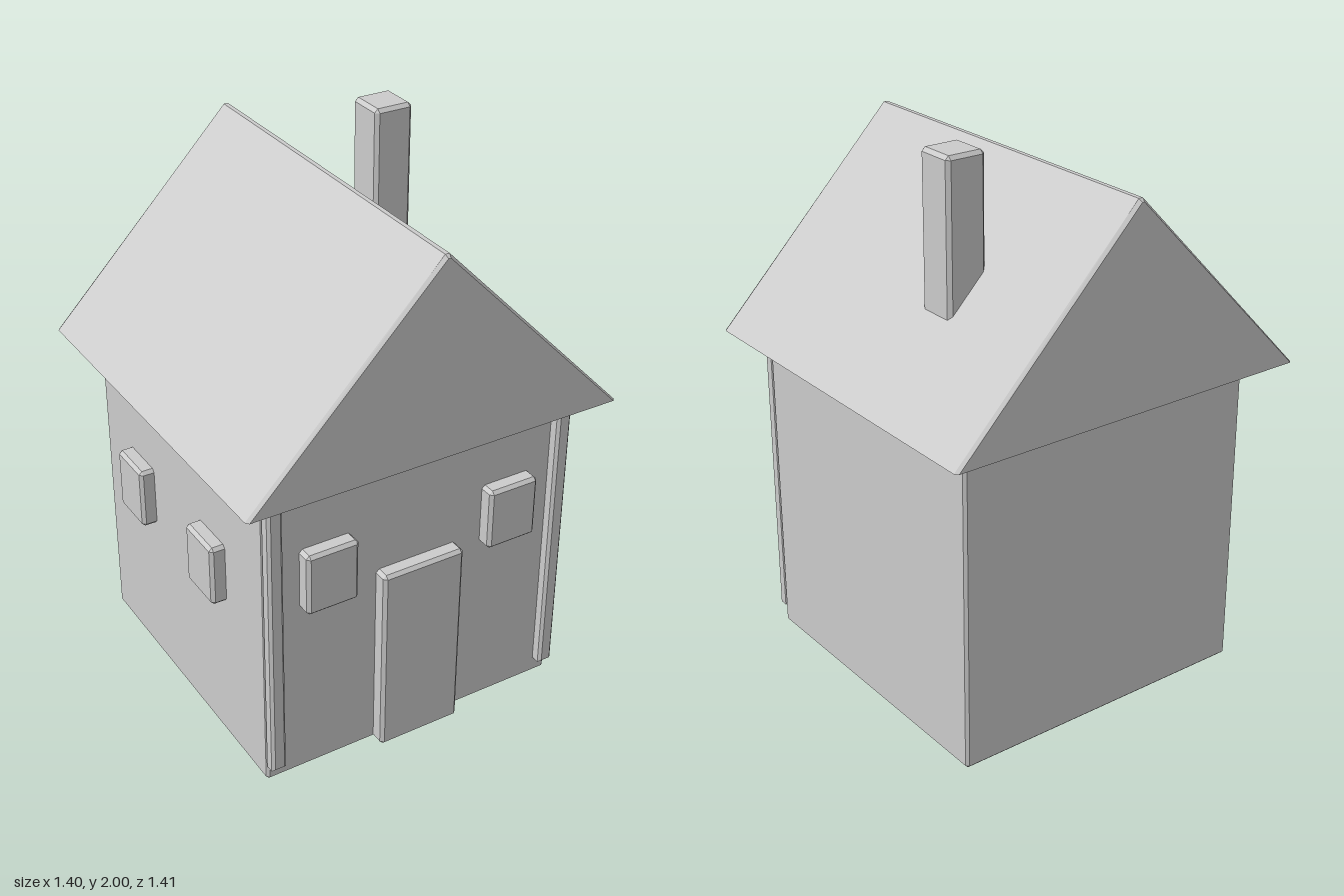
import * as THREE from 'three';
import { ConvexGeometry } from 'three/addons/geometries/ConvexGeometry.js';

const material = new THREE.MeshStandardMaterial({ color: 0xcccccc, flatShading: true });
const shellMaterial = new THREE.MeshStandardMaterial({ color: 0xcccccc, flatShading: true, side: THREE.DoubleSide });

// Box between two corners with every edge chamfered
function chamferBox(name, min, max, c = 0.01) {
  const points = [];
  for (let i = 0; i < 8; i++) {
    const side = [i & 1, (i >> 1) & 1, (i >> 2) & 1];
    for (let face = 0; face < 3; face++) {
      const p = side.map((s, a) => {
        const inset = a === face ? 0 : c;
        return s ? max[a] - inset : min[a] + inset;
      });
      points.push(new THREE.Vector3(...p));
    }
  }
  const mesh = new THREE.Mesh(new ConvexGeometry(points), material);
  mesh.name = name;
  return mesh;
}

// Gable roof: a hollow shell, open underneath, lofted along z
function roofGeometry() {
  const full = [[0.7, 1.18], [0.008, 1.895], [-0.008, 1.895], [-0.7, 1.18]];
  const inset = [[0.69, 1.18], [0.004, 1.885], [-0.004, 1.885], [-0.69, 1.18]];
  const rings = [[inset, -0.705], [full, -0.692], [full, 0.692], [inset, 0.705]]
    .map(([profile, z]) => profile.map(([x, y]) => [x, y, z]));
  const pos = [];
  const quad = (a, b, c, d) => pos.push(...a, ...b, ...c, ...a, ...c, ...d);
  for (let r = 0; r < 3; r++) {
    for (let i = 0; i < 3; i++) {
      quad(rings[r][i], rings[r][i + 1], rings[r + 1][i + 1], rings[r + 1][i]);
    }
  }
  // Slopes and chamfers are wound outwards, then the two gable ends
  for (let t = 0; t < pos.length; t += 9) {
    for (let k = 0; k < 3; k++) {
      [pos[t + 3 + k], pos[t + 6 + k]] = [pos[t + 6 + k], pos[t + 3 + k]];
    }
  }
  quad(...rings[3]);
  quad(...[...rings[0]].reverse());
  const g = new THREE.BufferGeometry();
  g.setAttribute('position', new THREE.Float32BufferAttribute(pos, 3));
  g.computeVertexNormals();
  return g;
}

// Upside-down U of two posts and a top beam
function frameGeometry() {
  const outline = [
    [-0.585, 0.065], [-0.53, 0.065], [-0.53, 1.11], [0.53, 1.11],
    [0.53, 0.065], [0.585, 0.065], [0.585, 1.165], [-0.585, 1.165],
  ];
  const shape = new THREE.Shape(outline.map(([x, y]) => new THREE.Vector2(x, y)));
  const g = new THREE.ExtrudeGeometry(shape, {
    depth: 0.03, bevelEnabled: true, bevelSegments: 1,
    bevelSize: 0.01, bevelThickness: 0.01, bevelOffset: -0.01,
  });
  return g.translate(0, 0, 0.585);
}

export function createModel() {
  const house = new THREE.Group();
  house.name = 'house';

  house.add(chamferBox('walls', [-0.585, 0, -0.585], [0.585, 1.175, 0.585]));

  const roof = new THREE.Mesh(roofGeometry(), shellMaterial);
  roof.name = 'roof';
  house.add(roof);

  house.add(chamferBox('chimney', [0.277, 1.18, -0.288], [0.423, 2, -0.138], 0.013));

  const frame = new THREE.Mesh(frameGeometry(), material);
  frame.name = 'frontFrame';
  house.add(frame);

  house.add(chamferBox('door', [-0.16, 0, 0.57], [0.157, 0.73, 0.64], 0.012));

  // Front windows
  for (const x of [-0.355, 0.353]) {
    house.add(chamferBox('frontWindow', [x - 0.097, 0.687, 0.57], [x + 0.097, 0.92, 0.64], 0.012));
  }

  // Side windows
  for (const z of [-0.29, 0.235]) {
    house.add(chamferBox('sideWindow', [-0.638, 0.595, z - 0.092], [-0.57, 0.825, z + 0.092], 0.012));
  }
  return house;
}
